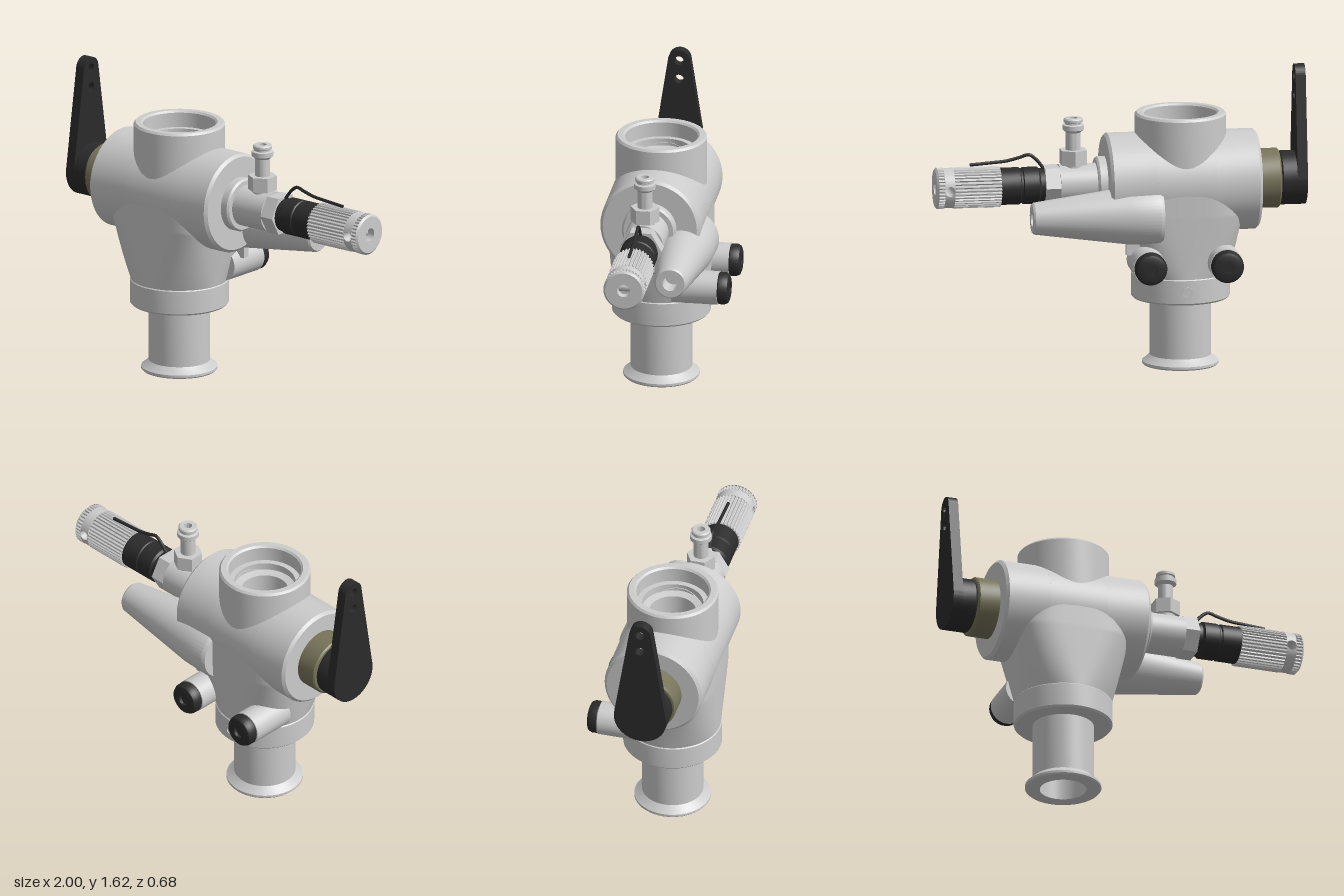
import * as THREE from 'three';
import { toCreasedNormals } from 'three/addons/utils/BufferGeometryUtils.js';
import { ParametricGeometry } from 'three/addons/geometries/ParametricGeometry.js';

const mat = (name, color) => new THREE.MeshStandardMaterial({ name, color, side: THREE.DoubleSide });
const CX = -0.33, CY = 1.0, CZ = 0.065; // valve centre

export function createModel() {
  const steel = mat('steel', 0xcccccc);
  const black = mat('black', 0x2b2b2b);
  const olive = mat('olive', 0x78745a);
  const model = new THREE.Group();

  const add = (name, geo, material, x = 0, y = 0, z = 0) => {
    const mesh = new THREE.Mesh(geo, material);
    mesh.name = name;
    mesh.position.set(x, y, z);
    model.add(mesh);
    return mesh;
  };

  // Turned part: profile of [radius, distance along axis]
  const turned = (profile, axis = 'y', sides = 48) => {
    let g = new THREE.LatheGeometry(profile.map(p => new THREE.Vector2(...p)), sides);
    g = toCreasedNormals(g, 0.5);
    if (axis === 'x') g.rotateZ(-Math.PI / 2);
    if (axis === 'back') g.rotateX(-Math.PI / 2);
    return g;
  };
  const onAxis = (name, profile, material) => add(name, turned(profile, 'x'), material, 0, CY, CZ);

  // Half of a cylinder skin along x, cut by a vertical hole of radius r
  const drilledHalf = (R, r) => {
    const g = new ParametricGeometry((u, v, p) => {
      const x = -r * Math.cos(Math.PI * u);
      const a = Math.asin(Math.sqrt(Math.max(0, r * r - x * x)) / R);
      const t = a + (Math.PI - 2 * a) * v;
      p.set(x, R * Math.cos(t), R * Math.sin(t));
    }, 24, 32);
    g.computeVertexNormals();
    return g;
  };

  // Main horizontal body
  const H = 0.16, R = 0.27;
  onAxis('bodyLeftEnd', [[0, -0.74], [0.255, -0.74], [R, -0.725], [R, CX - H]], steel);
  onAxis('bodyRightEnd', [[R, CX + H], [R, 0.065], [0.255, 0.08], [0, 0.08]], steel);
  for (const turn of [0, Math.PI]) {
    add('bodyMiddle', drilledHalf(R, H).rotateX(turn), steel, CX, CY, CZ);
  }

  // Vertical inlet, bore and outlet
  add('inletNeck', turned([[0.245, 1.0], [0.245, 1.368], [0.235, 1.38], [0.205, 1.38], [0.195, 1.37],
    [0.195, 1.29], [0.165, 1.29], [0.165, 1.25], [0.125, 1.24]]), steel, CX, 0, CZ);
  add('bore', turned([[0.125, 0], [0.125, 1.24]]), steel, CX, 0, CZ);
  add('outletTube', turned([[0.125, 0], [0.198, 0], [0.205, 0.007], [0.205, 0.02], [0.185, 0.035],
    [0.165, 0.055], [0.165, 0.38]]), steel, CX, 0, CZ);
  add('collar', turned([[0.15, 0.37], [0.255, 0.37], [0.265, 0.38], [0.265, 0.505], [0.26, 0.51],
    [0.125, 0.51]]), steel, CX, 0, CZ);

  // Tapered lower body blending from a rounded block to a circle
  const sp = (c, n) => Math.sign(c) * Math.pow(Math.abs(c), 2 / n);
  add('lowerBody', new ParametricGeometry((u, v, p) => {
    const t = u * Math.PI * 2, y = 0.51 + 0.47 * v;
    const k = Math.min(1, v / 0.7);
    const n = 2 + 1.8 * k;
    const hx = 0.26 + 0.065 * k, hz = 0.26 + 0.008 * k;
    p.set(hx * sp(Math.cos(t), n), y, hz * sp(Math.sin(t), n));
  }, 72, 20), steel, CX, 0, CZ);

  // Rear bosses with socket caps
  for (const x of [-0.53, -0.115]) {
    add('rearBoss', turned([[0, 0.03], [0.09, 0.03], [0.09, 0.28], [0, 0.28]], 'back'), steel, x, 0.6, 0);
    add('bossCap', turned([[0.08, 0.275], [0.087, 0.285], [0.087, 0.315], [0.078, 0.333], [0.06, 0.34],
      [0.03, 0.34], [0.03, 0.322], [0, 0.322]], 'back'), black, x, 0.6, 0);
  }
  add('collarScrew', turned([[0.03, 0.18], [0.03, 0.204], [0.018, 0.204], [0.018, 0.19], [0, 0.19]], 'back', 24),
    steel, CX, 0.44, 0);

  // Tapered side spout behind the body
  add('sideSpout', turned([[0, -0.2], [0.15, -0.2], [0.16, -0.18], [0.155, -0.02], [0.086, 0.49], [0.078, 0.5],
    [0.042, 0.5], [0.042, 0.4], [0, 0.4]], 'x'), steel, 0, 0.855, -0.11);
  add('spoutRib', new THREE.BoxGeometry(0.1, 0.1, 0.04), steel, -0.06, 0.69, -0.11);

  // Right-hand adjuster stem
  onAxis('stemFlange', [[0, 0.08], [0.145, 0.08], [0.145, 0.12], [0.135, 0.13], [0, 0.13]], steel);
  onAxis('stemNeck', [[0.11, 0.12], [0.11, 0.33], [0, 0.33]], steel);
  const hex = (r, h) => toCreasedNormals(new THREE.CylinderGeometry(r, r, h, 6), 0.3);
  add('stemNut', hex(0.115, 0.08).rotateZ(Math.PI / 2), steel, 0.37, CY, CZ);
  onAxis('stemGrip', [[0, 0.41], [0.09, 0.41], [0.09, 0.435], [0.1, 0.445], [0.1, 0.525], [0.094, 0.53],
    [0.094, 0.54], [0.1, 0.545], [0.1, 0.65], [0, 0.65]], black);

  // Knurled knob with a cross hole
  const knurl = (length, hole) => {
    const pts = [];
    for (let i = 0; i < 144; i++) {
      const a = i / 144 * Math.PI * 2, r = i % 4 < 2 ? 0.111 : 0.103;
      pts.push(new THREE.Vector2(r * Math.cos(a), r * Math.sin(a)));
    }
    const s = new THREE.Shape(pts);
    if (hole) s.holes.push(new THREE.Path().absarc(0, 0, hole, 0, Math.PI * 2, true));
    return new THREE.ExtrudeGeometry(s, { depth: length, bevelEnabled: false, curveSegments: 16 })
      .rotateY(Math.PI / 2);
  };
  add('knobGrip', knurl(0.253, 0), steel, 0.65, CY, CZ);
  add('knobTip', knurl(0.033, 0.035), steel, 0.957, CY, CZ);
  onAxis('knobEndFace', [[0.111, 0.99], [0.1, 1.0], [0.035, 1.0], [0.035, 0.957]], steel);
  for (const turn of [Math.PI / 2, -Math.PI / 2]) {
    add('knobHoleBand', drilledHalf(0.108, 0.027).rotateX(turn), steel, 0.93, CY, CZ);
  }
  add('knobCrossHole', new THREE.CylinderGeometry(0.027, 0.027, 0.21, 24, 1, true).rotateX(Math.PI / 2),
    steel, 0.93, CY, CZ);

  // Spring wire over the grip
  const wire = new THREE.CatmullRomCurve3([[0.41, 1.09], [0.45, 1.14], [0.49, 1.168], [0.54, 1.155],
    [0.61, 1.138], [0.7, 1.13], [0.81, 1.122]].map(p => new THREE.Vector3(p[0], p[1], CZ)));
  add('springWire', new THREE.TubeGeometry(wire, 48, 0.009, 8), black);

  // Small hose nipple on the stem
  add('nippleNut', hex(0.078, 0.08), steel, 0.25, 1.15, CZ);
  add('nippleBase', turned([[0.055, 1.06], [0.055, 1.12]]), steel, 0.25, 0, CZ);
  add('nipple', turned([[0.04, 1.18], [0.04, 1.285], [0.058, 1.3], [0.058, 1.325], [0.045, 1.33],
    [0.045, 1.338], [0.052, 1.342], [0.052, 1.355], [0.046, 1.362], [0.022, 1.362], [0.022, 1.3], [0, 1.3]],
  'y', 32), steel, 0.25, 0, CZ);

  // Left-hand bearing and lever
  onAxis('bearingRing', [[0, -0.86], [0.152, -0.86], [0.16, -0.852], [0.16, -0.74], [0, -0.74]], olive);
  onAxis('leverHub', [[0, -0.95], [0.145, -0.95], [0.145, -0.87], [0.138, -0.86], [0, -0.86]], black);
  const top = 0.56, r0 = 0.145, r1 = 0.06;
  const a = Math.asin((r0 - r1) / top); // tangent angle of the tapered sides
  const lever = new THREE.Shape();
  lever.absarc(0, 0, r0, Math.PI - a, Math.PI * 2 + a, false);
  lever.absarc(0, top, r1, a, Math.PI - a, false);
  for (const y of [0.455, 0.56]) {
    lever.holes.push(new THREE.Path().absarc(0, y, 0.025, 0, Math.PI * 2, true));
  }
  const plate = new THREE.ExtrudeGeometry(lever, { depth: 0.055, bevelEnabled: false, curveSegments: 32 });
  add('lever', toCreasedNormals(plate, 0.5).rotateY(Math.PI / 2), black, -1, CY, CZ);

  return model;
}
